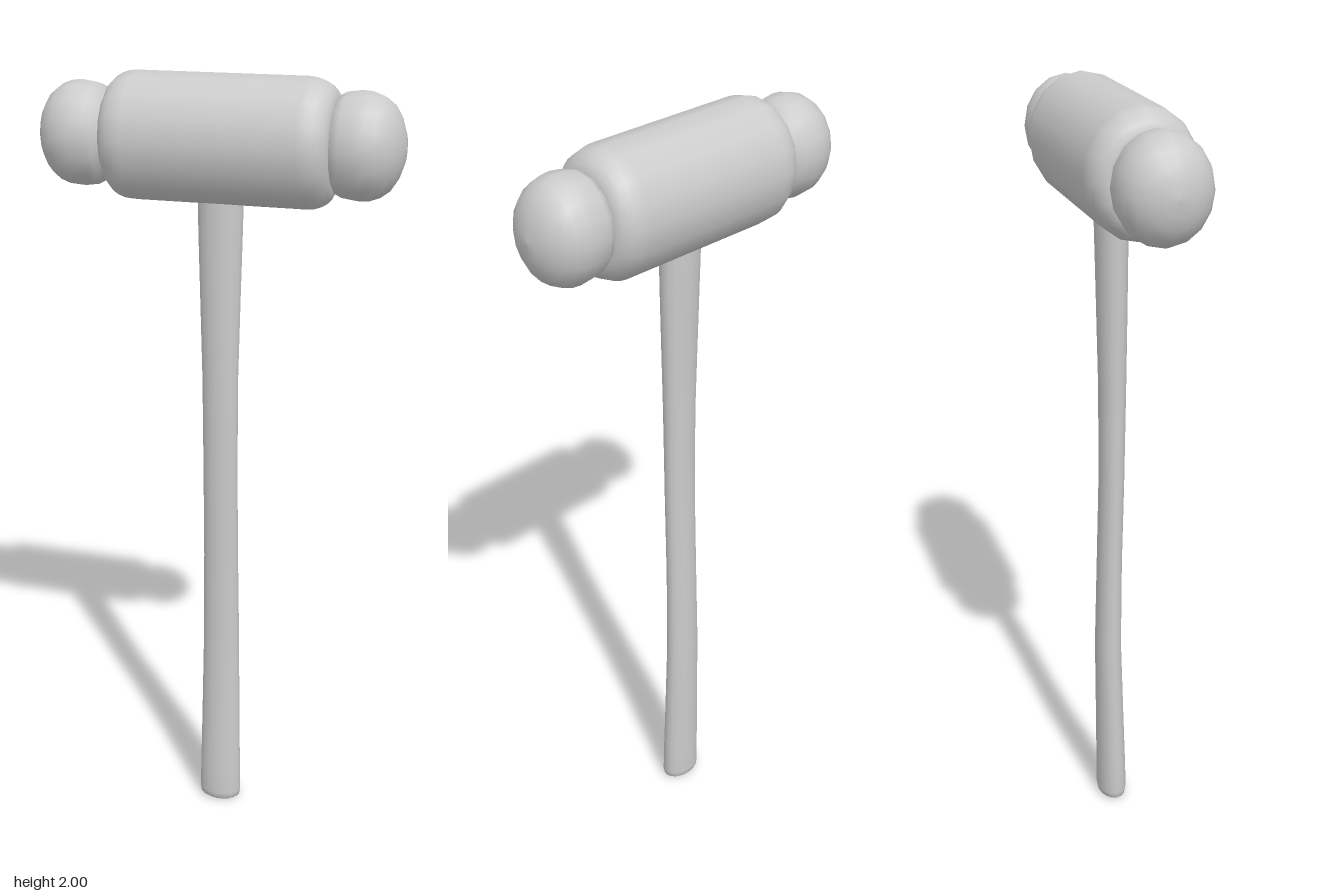
import * as THREE from 'three';
import { mergeVertices } from 'three/addons/utils/BufferGeometryUtils.js';

const material = new THREE.MeshStandardMaterial({ color: 0xcccccc });
const SIDES = 16;
const HEAD_Y = 1.845;

function addMesh(group, name, geometry) {
  const mesh = new THREE.Mesh(geometry, material);
  mesh.name = name;
  group.add(mesh);
  return mesh;
}

// Turned part lying along x; profile is [x, radius] with x increasing, flattened in z
function turned(profile, depthRatio) {
  const points = profile.map(([x, r]) => new THREE.Vector2(r, x));
  const geometry = new THREE.LatheGeometry(points, SIDES);
  geometry.rotateZ(-Math.PI / 2);
  geometry.scale(1, 1, depthRatio);
  geometry.translate(0, HEAD_Y, 0);
  return geometry;
}

// Handle: an oval section that swells, narrows and sways along its length
function handleGeometry() {
  // [y, half width, half depth, z offset]
  const rings = [
    [0, 0.001, 0.001, 0], [0.001, 0.046, 0.03, 0], [0.008, 0.055, 0.037, 0],
    [0.025, 0.058, 0.04, 0], [0.1, 0.057, 0.039, -0.001], [0.25, 0.054, 0.037, -0.004],
    [0.5, 0.05, 0.034, -0.009], [0.75, 0.047, 0.032, -0.005], [1.0, 0.046, 0.032, 0.001],
    [1.25, 0.047, 0.034, 0.003], [1.45, 0.052, 0.037, 0.002], [1.6, 0.056, 0.039, 0.001],
    [1.69, 0.058, 0.04, 0], [1.78, 0.058, 0.04, 0],
  ];
  const geometry = new THREE.LatheGeometry(rings.map(([y]) => new THREE.Vector2(1, y)), SIDES);
  const pos = geometry.attributes.position;
  for (let i = 0; i < pos.count; i++) {
    const [y, rx, rz, cz] = rings[i % rings.length];
    pos.setXYZ(i, 0.004 + pos.getX(i) * rx, y, cz + pos.getZ(i) * rz);
  }
  geometry.deleteAttribute('uv');
  geometry.deleteAttribute('normal');
  const welded = mergeVertices(geometry, 1e-5);
  welded.computeVertexNormals();
  return welded;
}

export function createModel() {
  const group = new THREE.Group();
  group.name = 'mallet';

  addMesh(group, 'handle', handleGeometry());

  // Barrel of the head, with rounded shoulders
  const half = 0.282, radius = 0.155, roundX = 0.07, roundR = 0.055;
  const shoulder = [];
  for (let i = 0; i <= 6; i++) {
    const a = (i / 6) * Math.PI / 2;
    shoulder.push([half - roundX * (1 - Math.sin(a)), radius - roundR * (1 - Math.cos(a))]);
  }
  const barrelHalf = [...shoulder, [half, 0]];
  const barrel = [...barrelHalf.map(([x, r]) => [-x, r]).reverse(), ...barrelHalf];
  addMesh(group, 'headBarrel', turned(barrel, 0.885)).position.x = 0.007;

  // Domed striking faces at both ends
  const dome = [
    [0.27, 0.09], [0.284, 0.1], [0.292, 0.114], [0.31, 0.123], [0.345, 0.128], [0.37, 0.126],
    [0.395, 0.117], [0.418, 0.1], [0.436, 0.072], [0.448, 0.038], [0.452, 0],
  ];
  const mirrored = dome.map(([x, r]) => [-x, r]).reverse();
  addMesh(group, 'leftStrikingFace', turned(dome, 0.875));
  addMesh(group, 'rightStrikingFace', turned(mirrored, 0.875));

  return group;
}
